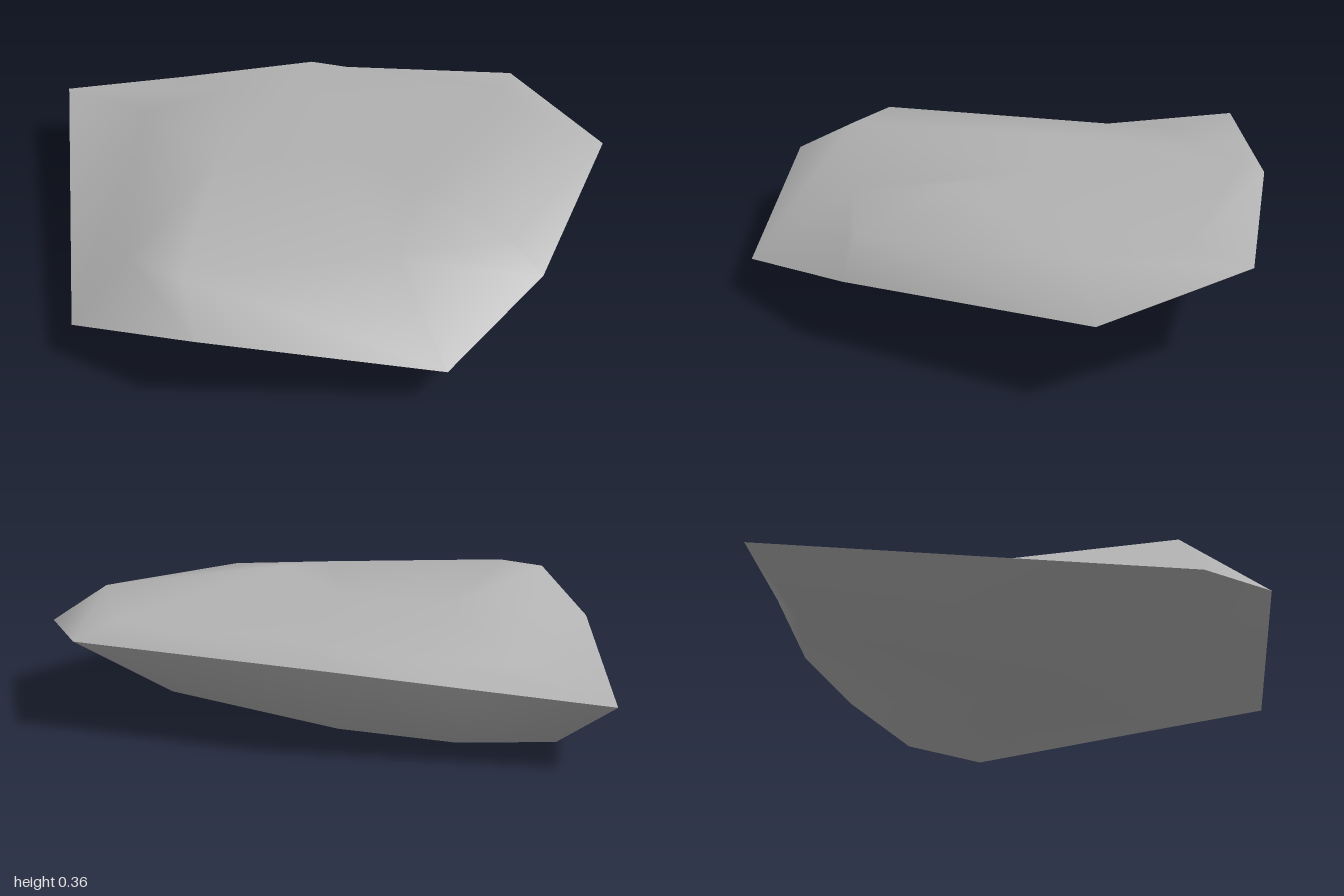
import * as THREE from 'three';

export function createModel() {
  const group = new THREE.Group();
  group.name = 'flatRock';
  const stone = new THREE.MeshStandardMaterial({ color: 0xb2b2b2 });
  stone.name = 'grey stone';

  // Each ring has nine corners, running clockwise as seen from above.
  const foot = [
    [-0.78, 0.045, -0.25], [-0.53, 0.04, -0.42], [-0.15, 0.035, -0.52], [0.42, 0.09, -0.67],
    [0.72, 0.09, -0.53], [0.62, 0.03, 0.2], [0.54, 0.005, 0.38], [0.1, 0.0, 0.46],
    [-0.2, 0.005, 0.46],
  ];
  const rim = [
    [-1, 0.21, -0.29], [-0.6, 0.248, -0.5], [-0.22, 0.285, -0.7], [0.57, 0.3, -0.945],
    [0.995, 0.24, -0.66], [0.995, 0.195, 0.16], [0.84, 0.11, 0.63], [0.17, 0.23, 0.94],
    [-0.28, 0.115, 0.89],
  ];
  const shoulder = [
    [-0.6, 0.25, -0.2], [-0.4, 0.272, -0.4], [-0.13, 0.34, -0.65], [0.58, 0.325, -0.75],
    [0.87, 0.355, -0.52], [0.89, 0.3, 0.18], [0.6, 0.305, 0.4], [0.05, 0.315, 0.78],
    [-0.15, 0.32, 0.76],
  ];
  const n = rim.length;

  // Joins two rings with a strip of triangles, outer side facing out.
  const strip = () => {
    const index = [];
    for (let i = 0; i < n; i++) {
      const j = (i + 1) % n;
      index.push(i, n + j, j, i, n + i, n + j);
    }
    return index;
  };

  const addPart = (name, points, index) => {
    const geometry = new THREE.BufferGeometry();
    geometry.setAttribute('position', new THREE.Float32BufferAttribute(points.flat(), 3));
    geometry.setIndex(index);
    geometry.computeVertexNormals();
    const mesh = new THREE.Mesh(geometry, stone);
    mesh.name = name;
    group.add(mesh);
  };

  // Underside: slopes from the rim to a nearly flat base
  const below = strip();
  for (let i = 0; i < n; i++) below.push(2 * n, i, (i + 1) % n);
  addPart('underside', [...foot, ...rim, [0.05, 0.012, 0]], below);

  // Top: a shallow valley between the ridge and the summit
  const [A, M, B, C, D, E, F, G, H] = shoulder.map((_, i) => n + i);
  const [ridge, valley, summit] = [2 * n, 2 * n + 1, 2 * n + 2];
  const above = strip();
  [
    [A, M, ridge], [M, B, ridge], [A, ridge, H], [ridge, B, valley], [B, C, valley],
    [valley, C, summit], [C, D, summit], [D, E, summit], [E, F, summit],
    [valley, summit, F], [valley, F, G], [ridge, valley, G], [ridge, G, H],
  ].forEach(([a, b, c]) => above.push(a, c, b));
  const inner = [[-0.16, 0.31, 0.1], [0.2, 0.315, -0.05], [0.54, 0.36, 0.06]];
  addPart('topSurface', [...rim, ...shoulder, ...inner], above);

  return group;
}
